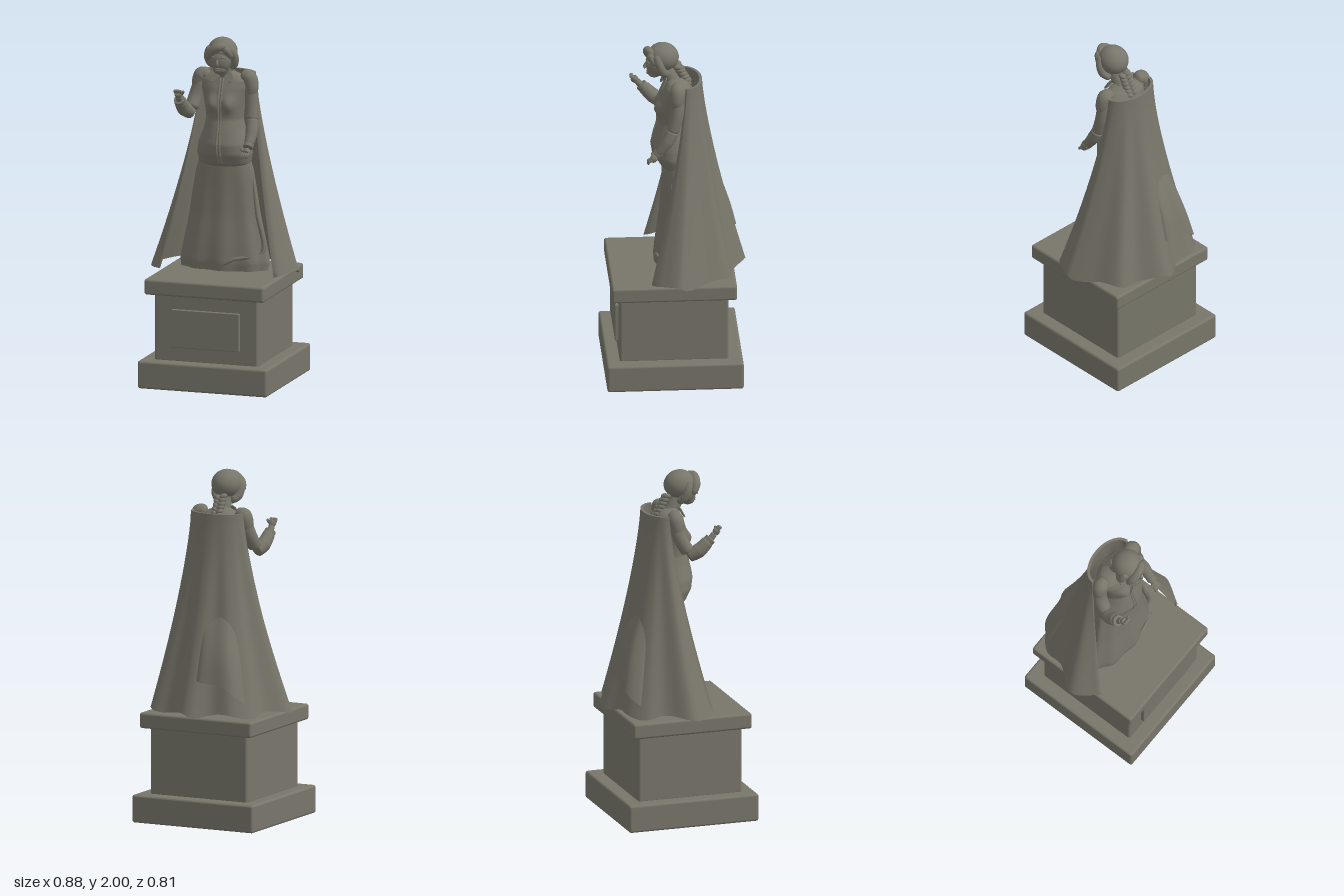
import * as THREE from 'three';
import { RoundedBoxGeometry } from 'three/addons/geometries/RoundedBoxGeometry.js';

const V = (x, y, z) => new THREE.Vector3(x, y, z);
const stone = new THREE.MeshStandardMaterial({ color: 0x78766a, side: THREE.DoubleSide });
stone.name = 'grey stone';

function add(parent, name, geometry, position = V(0, 0, 0)) {
  const mesh = new THREE.Mesh(geometry, stone);
  mesh.name = name;
  mesh.position.copy(position);
  parent.add(mesh);
  return mesh;
}

// Surface from point(u, v), u and v in 0..1; wrap joins u = 1 back to u = 0
function grid(point, nu, nv, wrap = false) {
  const pos = [], idx = [], cols = wrap ? nu : nu + 1;
  for (let j = 0; j <= nv; j++)
    for (let i = 0; i < cols; i++) pos.push(...point(i / nu, j / nv).toArray());
  for (let j = 0; j < nv; j++)
    for (let i = 0; i < nu; i++) {
      const a = j * cols + i, b = j * cols + (i + 1) % cols, c = a + cols, d = b + cols;
      idx.push(a, c, b, b, c, d);
    }
  const g = new THREE.BufferGeometry();
  g.setAttribute('position', new THREE.Float32BufferAttribute(pos, 3));
  g.setIndex(idx);
  g.computeVertexNormals();
  return g;
}

// Interpolated row of a table
function row(rows, v) {
  const f = v * (rows.length - 1), i = Math.min(Math.floor(f), rows.length - 2);
  return rows[i].map((n, k) => THREE.MathUtils.lerp(n, rows[i + 1][k], f - i));
}

// Tapering tube through points, with rounded ends
function limb(points, radii, sides = 14) {
  const curve = new THREE.CatmullRomCurve3(points), n = 28;
  const { normals, binormals } = curve.computeFrenetFrames(n);
  return grid((u, v) => {
    const j = Math.round(v * n), a = u * Math.PI * 2;
    const end = Math.sqrt(Math.min(1, Math.min(v, 1 - v) * 10));
    const r = row(radii.map(x => [x]), v)[0] * end;
    return curve.getPoint(v).addScaledVector(normals[j], Math.cos(a) * r)
      .addScaledVector(binormals[j], Math.sin(a) * r);
  }, sides, n, true);
}

function ellipsoid(parent, name, p, rx, ry, rz) {
  const m = add(parent, name, new THREE.SphereGeometry(1, 28, 20), p);
  m.scale.set(rx, ry, rz);
  return m;
}

// Body tables: height, half width, front z, back z
const TORSO = [[1.79, .045, .03, -.06], [1.765, .105, .045, -.085], [1.74, .138, .058, -.1],
  [1.7, .14, .075, -.11], [1.64, .125, .09, -.1], [1.58, .115, .092, -.09], [1.52, .108, .09, -.085],
  [1.46, .122, .107, -.085], [1.38, .152, .125, -.09], [1.32, .163, .115, -.09],
  [1.27, .155, .085, -.09], [1.235, .12, .045, -.08]];
const SKIRT = [[1.32, .14, .06, -.08], [1.22, .17, .065, -.1], [1.1, .19, .07, -.13],
  [.95, .21, .08, -.17], [.8, .24, .1, -.2], [.7, .26, .11, -.22], [.65, .255, .105, -.22]];

function bodyPoint(rows, a, v, grow = 0) {
  const [y, rx, zf, zb] = row(rows, v);
  const c = Math.cos(a), x = Math.sin(a) * (rx + grow);
  return V(x, y, -.01 + c * ((c > 0 ? zf + .01 : -.01 - zb) + grow));
}
function torsoPoint(a, v, grow) {
  const p = bodyPoint(TORSO, a, v, grow);
  if (Math.cos(a) > 0) { // bust
    const d = ((Math.abs(p.x) - .052) / .035) ** 2 + ((p.y - 1.61) / .042) ** 2;
    p.z += .03 * Math.exp(-d);
  }
  return p;
}

// Cape: an arc round the shoulders spreading to a waving hem (x, z)
const HEM = new THREE.CatmullRomCurve3([[-.335, .145], [-.43, 0], [-.335, -.14], [-.32, -.25],
  [-.23, -.33], [-.1, -.34], [0, -.4], [.06, -.39], [.18, -.31], [.29, -.3], [.35, -.17],
  [.42, -.05], [.43, 0], [.35, .145]].map(([x, z]) => V(x, 0, z)));
function capePoint(t, s, grow = 0) {
  const a = t * Math.PI, f = s ** 1.35, h = HEM.getPoint(t);
  const p = V(-.155 * Math.cos(a), 0, -.06 - .095 * Math.sin(a)).lerp(h, f);
  p.y = 1.775 - s * (1.125 + .012 * Math.sin(t * 32));
  return p.add(V(-Math.cos(a), 0, -Math.sin(a)).multiplyScalar(grow));
}

function pedestal(g) {
  for (const [name, w, y0, y1, d, z] of [
    ['pedestalBase', .775, 0, .16, .775, .012], ['pedestalBlock', .62, .15, .55, .62, .015],
    ['pedestalTop', .715, .54, .63, .71, .015], ['plaque', .405, .24, .46, .06, .315]])
    add(g, name, new RoundedBoxGeometry(w, y1 - y0, d, 3, name === 'plaque' ? .004 : .014),
      V(0, (y0 + y1) / 2, z));
}

function clothes(g) {
  add(g, 'skirt', grid((u, v) => {
    const a = u * Math.PI * 2;
    return bodyPoint(SKIRT, a, v, .007 * v * Math.sin(a * 9 + 1));
  }, 96, 24, true));
  add(g, 'skirtFold', limb([V(.175, 1.2, .02), V(.205, .98, .03), V(.24, .76, .03), V(.17, .735, .085),
    V(.09, .72, .105), V(.02, .68, .11)], [.006, .012, .015, .012, .01, .008]));

  // Outer and inner faces run round as one closed strip
  const capeAt = (u, v) => u < .5 ? capePoint(u * 2, v, .008) : capePoint(2 - u * 2, v, -.008);
  add(g, 'cape', grid(capeAt, 160, 30, true));
  for (const [name, v] of [['capeTopEdge', 0], ['capeHemEdge', 1]])
    add(g, name, grid((u, w) => capePoint(u, v, (w - .5) * .016), 80, 1));
  // Raised drape on the back of the cape
  add(g, 'backDrape', grid((u, v) => {
    const lift = Math.sin(Math.PI * u) ** .6 * Math.sin(Math.PI * Math.min(v * .62, .5));
    return capePoint(.25 + .21 * u, .48 + .05 * Math.abs(u - .5) + v * (.43 - .12 * u), -.004 + .062 * lift);
  }, 24, 18));

  add(g, 'jacket', grid((u, v) => torsoPoint(u * Math.PI * 2, v), 64, 66, true));
  add(g, 'jacketHem', grid((u, v) => {
    const p = torsoPoint(u * Math.PI * 2, .9 + .1 * v, .006 * Math.sin(Math.PI * v));
    return p;
  }, 64, 6, true));
  // Front opening with two lapped edges
  for (const s of [-1, 1])
    add(g, 'placket', grid((u, v) =>
      torsoPoint(s * (.015 + .09 * u), .12 + .86 * v, .006 * Math.sin(Math.PI * u)), 6, 60));
  for (let i = 0; i < 6; i++)
    ellipsoid(g, 'button', torsoPoint(.06, .32 + i * .1, .005), .005, .005, .004);

  // Collar flaps and shoulder caps
  for (const s of [-1, 1]) {
    const shape = new THREE.Shape([[.012, 0], [.04, .035], [.06, .02], [.068, -.03], [.04, -.035]]
      .map(([x, y]) => new THREE.Vector2(s * x, y)));
    const flap = add(g, 'collarFlap',
      new THREE.ExtrudeGeometry(shape, { depth: .006, bevelEnabled: false }), V(.003, 1.765, .052));
    flap.rotation.x = -.45;
    add(g, 'shoulderCap', limb([V(s * .09, 1.765, -.015), V(s * .14, 1.755, -.015),
      V(s * .158, 1.7, -.01), V(s * .15, 1.65, -.005)], [.03, .045, .04, .03], 18));
  }
}

function hand(g, name, palm, tip, side) {
  const h = new THREE.Group();
  h.name = name;
  g.add(h);
  const along = tip.clone().sub(palm);
  add(h, 'palm', limb([palm.clone().addScaledVector(along, -.5), palm,
    palm.clone().addScaledVector(along, .4)], [.016, .022, .02]));
  for (let i = 0; i < 4; i++) {
    const off = V((i - 1.5) * .011, 0, 0), base = palm.clone().addScaledVector(along, .2).add(off);
    add(h, 'finger', limb([base, base.clone().addScaledVector(along, .65),
      tip.clone().add(off).add(V(-side * .006, -.012, 0))], [.008, .008, .006], 8));
  }
  add(h, 'thumb', limb([palm, palm.clone().add(V(-side * .026, .008, .004)),
    palm.clone().add(V(-side * .036, .024, .008))], [.01, .009, .006], 8));
}

function arms(g) {
  // Raised right arm
  add(g, 'rightUpperSleeve', limb([V(-.145, 1.73, -.015), V(-.17, 1.64, .005), V(-.185, 1.56, .05)],
    [.04, .04, .04]));
  add(g, 'rightForeSleeve', limb([V(-.185, 1.54, .04), V(-.205, 1.575, .1), V(-.215, 1.64, .165)],
    [.036, .043, .034]));
  add(g, 'rightCuff', limb([V(-.212, 1.625, .152), V(-.215, 1.645, .172)], [.033, .033]));
  add(g, 'rightWrist', limb([V(-.214, 1.63, .16), V(-.21, 1.67, .195)], [.02, .018]));
  hand(g, 'rightHand', V(-.208, 1.68, .205), V(-.205, 1.71, .23), -1);
  // Lowered left arm
  add(g, 'leftUpperSleeve', limb([V(.145, 1.73, -.015), V(.16, 1.62, -.01), V(.17, 1.5, .02)],
    [.04, .04, .036]));
  add(g, 'leftForeSleeve', limb([V(.168, 1.53, .01), V(.178, 1.46, .045), V(.176, 1.38, .1)],
    [.036, .036, .027]));
  add(g, 'leftCuff', limb([V(.177, 1.395, .09), V(.175, 1.375, .108)], [.029, .029]));
  hand(g, 'leftHand', V(.174, 1.355, .122), V(.168, 1.335, .155), 1);
}

function head(g) {
  add(g, 'neck', limb([V(0, 1.71, -.02), V(.003, 1.78, .015), V(.008, 1.86, .06)], [.05, .04, .038]));
  ellipsoid(g, 'face', V(.008, 1.875, .09), .062, .078, .068);
  ellipsoid(g, 'jaw', V(.008, 1.825, .108), .04, .034, .042);
  add(g, 'nose', limb([V(.008, 1.885, .152), V(.008, 1.86, .162), V(.008, 1.848, .158)],
    [.006, .01, .01], 10));
  for (const dy of [0, -.011]) ellipsoid(g, 'lip', V(.008, 1.829 + dy, .147), .015, .006, .007);
  for (const s of [-1, 1]) {
    ellipsoid(g, 'eye', V(.008 + s * .025, 1.877, .145), .012, .006, .008);
    add(g, 'brow', limb([V(.008 + s * .012, 1.892, .152), V(.008 + s * .028, 1.896, .147),
      V(.008 + s * .044, 1.888, .136)], [.005, .006, .004], 8));
    // Hair hanging over the ears
    add(g, 'sideHair', limb([V(.008 + s * .05, 1.95, .1), V(.008 + s * .077, 1.9, .085),
      V(.008 + s * .07, 1.85, .065), V(.008 + s * .045, 1.82, .03)], [.025, .024, .026, .018]));
  }
  // Hair: crown tilted back off the forehead, and a swept fringe
  const crown = ellipsoid(g, 'hair', V(.008, 1.917, .058), .085, .08, .09);
  crown.rotation.x = -.25;
  add(g, 'fringe', limb([V(.06, 1.955, .12), V(.01, 1.955, .145), V(-.045, 1.915, .14), V(-.07, 1.865, .115)],
    [.018, .026, .025, .014]));
  add(g, 'fringe', limb([V(.02, 1.965, .13), V(.055, 1.935, .13), V(.078, 1.89, .105)], [.015, .022, .014]));
  // Braid in alternating strands
  for (let i = 0; i < 6; i++)
    for (const s of [-1, 1]) {
      const lobe = ellipsoid(g, 'braidStrand', V(s * .015, 1.855 - i * .02 - (s + 1) * .005, -.025 - i * .011),
        .024, .017, .024);
      lobe.rotation.z = s * .5;
    }
}

export function createModel() {
  const model = new THREE.Group();
  model.name = 'statue';
  for (const [name, build] of [['pedestal', pedestal], ['clothes', clothes], ['arms', arms], ['head', head]]) {
    const part = new THREE.Group();
    part.name = name;
    build(part);
    model.add(part);
  }
  return model;
}
